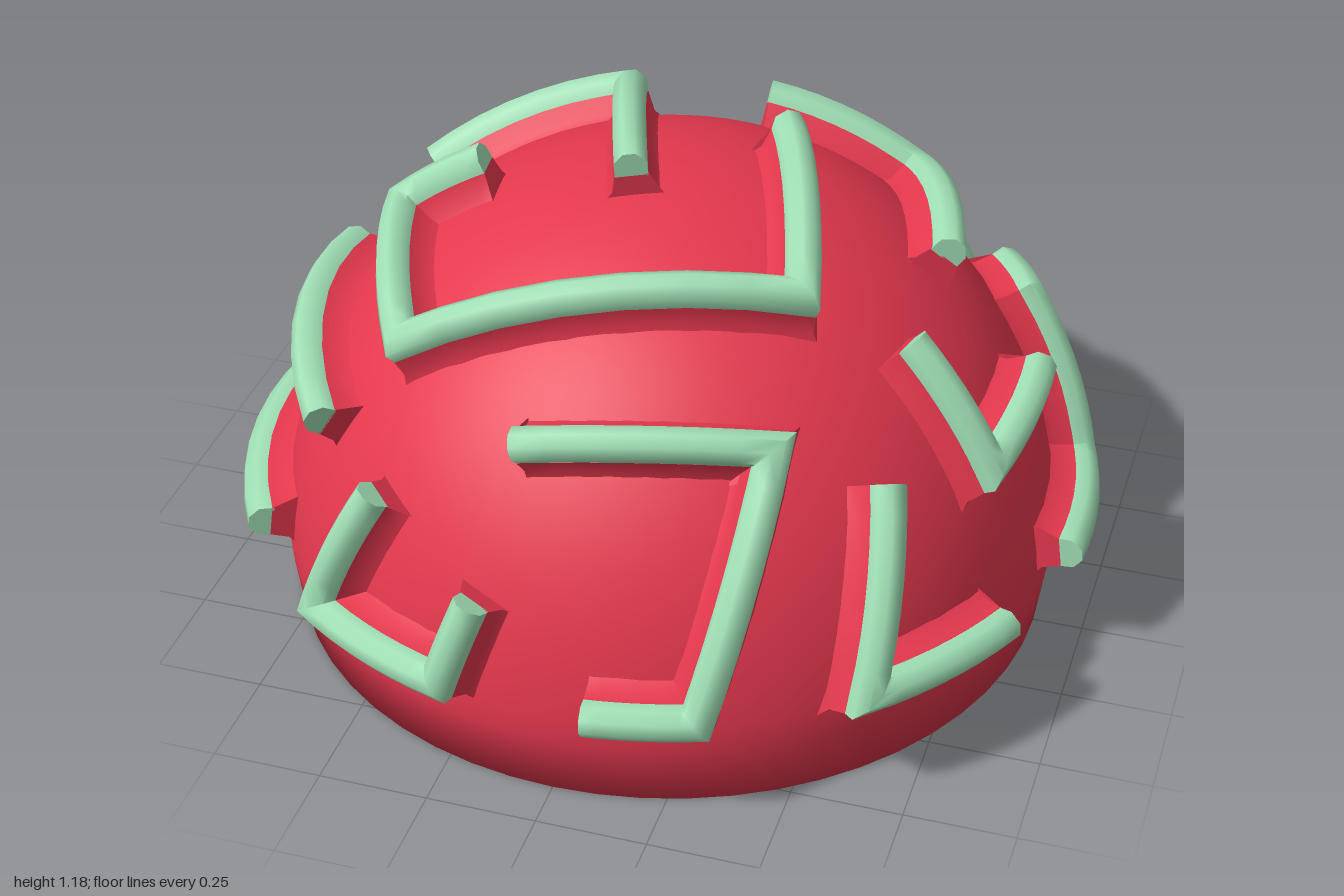
import * as THREE from 'three';
import { toCreasedNormals } from 'three/addons/utils/BufferGeometryUtils.js';

const RADIUS = 0.905;
const LIFT = 1.025; // the dome is slightly taller than a half ball
const CENTRE = new THREE.Vector3(0, 0.15, 0);

// Ridge corners on the dome, in model coordinates
const RIDGES = {
  crownHook: [[-0.43, 1.05, 0.06], [-0.63, 0.92, 0.08], [-0.46, 0.85, 0.54], [0.40, 1.0, 0.34], [0.22, 1.1, -0.2]],
  crownAngle: [[-0.68, 0.85, -0.25], [-0.23, 1.03, -0.42], [-0.05, 1.14, 0.15]],
  crownSide: [[0.09, 1.0, -0.51], [0.45, 0.85, -0.55], [0.64, 0.92, -0.07]],
  frontHook: [[-0.12, 0.79, 0.76], [0.42, 0.8, 0.63], [0.34, 0.28, 0.93], [0.1, 0.28, 0.99]],
  frontCup: [[-0.45, 0.6, 0.77], [-0.6, 0.28, 0.79], [-0.24, 0.28, 0.96], [-0.17, 0.48, 0.93]],
  frontLeftAngle: [[0.65, 0.69, 0.53], [0.67, 0.28, 0.73], [0.91, 0.28, 0.40]],
  leftAngle: [[0.63, 0.88, 0.26], [0.83, 0.62, 0.30], [0.86, 0.65, -0.08]],
  leftStep: [[0.98, 0.28, 0.1], [0.94, 0.28, -0.32], [0.77, 0.64, -0.40], [0.68, 0.62, -0.56]],
  backHook: [[-0.43, 0.64, -0.76], [-0.06, 0.645, -0.87], [0.03, 0.29, -0.99], [-0.53, 0.29, -0.84]],
  backRightAngle: [[-0.75, 0.6, -0.48], [-0.77, 0.285, -0.62], [-0.89, 0.285, -0.43]],
  backLeftHook: [[0.06, 0.79, -0.76], [0.42, 0.67, -0.76], [0.6, 0.28, -0.79], [0.42, 0.28, -0.89]],
  rightLowerBar: [[-0.98, 0.28, -0.13], [-0.84, 0.28, 0.53]],
  rightUpperBar: [[-0.86, 0.65, -0.15], [-0.64, 0.63, 0.58]],
};

// Cross-sections: [sideways offset, distance from the dome centre]
const WALL = [[-0.075, 0.885], [-0.047, 0.915], [-0.037, 0.96], [0.037, 0.96], [0.047, 0.915], [0.075, 0.885]];
const CAP = [[-0.037, 0.955], [-0.036, 0.99], [-0.014, 1.012], [0.014, 1.012], [0.036, 0.99], [0.037, 0.955]];

// Path of radial directions with mitred sideways vectors
function ridgeFrames(corners, steps = 7) {
  const dirs = corners.map((c) => new THREE.Vector3(...c).sub(CENTRE).normalize());
  const points = [dirs[0]];
  for (let i = 1; i < dirs.length; i++) {
    for (let k = 1; k <= steps; k++) points.push(dirs[i - 1].clone().lerp(dirs[i], k / steps).normalize());
  }
  const sideOf = (a, b, n) => b.clone().sub(a).cross(n).normalize();
  return points.map((n, i) => {
    const before = i > 0 ? sideOf(points[i - 1], n, n) : null;
    const after = i < points.length - 1 ? sideOf(n, points[i + 1], n) : null;
    const side = (before || after).clone().add(after || before).normalize();
    side.divideScalar(Math.max(0.5, side.dot(after || before)));
    return { n, side };
  });
}

// Sweep a cross-section along the frames and close both ends
function sweep(frames, profile, crease) {
  const m = profile.length;
  const positions = [];
  const index = [];
  for (const { n, side } of frames) {
    for (const [w, r] of profile) {
      const p = n.clone().multiplyScalar(r).addScaledVector(side, w);
      positions.push(p.x, CENTRE.y + p.y * LIFT, p.z);
    }
  }
  for (let i = 0; i < frames.length - 1; i++) {
    for (let j = 0; j < m - 1; j++) {
      const a = i * m + j;
      const b = a + m;
      index.push(a, a + 1, b, b, a + 1, b + 1);
    }
  }
  const last = (frames.length - 1) * m;
  for (let j = 1; j < m - 1; j++) {
    index.push(0, j + 1, j);
    index.push(last, last + j, last + j + 1);
  }
  const geometry = new THREE.BufferGeometry();
  geometry.setAttribute('position', new THREE.Float32BufferAttribute(positions, 3));
  geometry.setIndex(index);
  return toCreasedNormals(geometry, crease);
}

// Underside, short upright foot and rounded top in one smooth profile
function domeGeometry() {
  const profile = [new THREE.Vector2(0, 0), new THREE.Vector2(0.885, 0)];
  const rows = 24;
  for (let i = 0; i <= rows; i++) {
    const a = (i / rows) * Math.PI / 2;
    profile.push(new THREE.Vector2(RADIUS * Math.cos(a), CENTRE.y + RADIUS * LIFT * Math.sin(a)));
  }
  return new THREE.LatheGeometry(profile, 56);
}

export function createModel() {
  const red = new THREE.MeshStandardMaterial({ color: 0xe5384e });
  red.name = 'coral red';
  const green = new THREE.MeshStandardMaterial({ color: 0xa0dfb5 });
  green.name = 'mint green';

  const model = new THREE.Group();
  model.name = 'ridgedDome';
  const add = (parent, name, geometry, material) => {
    const mesh = new THREE.Mesh(geometry, material);
    mesh.name = name;
    parent.add(mesh);
  };

  add(model, 'dome', domeGeometry(), red);

  // Raised maze-like ridges with coloured tops
  for (const [name, corners] of Object.entries(RIDGES)) {
    const ridge = new THREE.Group();
    ridge.name = name;
    const frames = ridgeFrames(corners);
    add(ridge, name + 'Wall', sweep(frames, WALL, 0.6), red);
    add(ridge, name + 'Cap', sweep(frames, CAP, 1.1), green);
    model.add(ridge);
  }
  return model;
}
